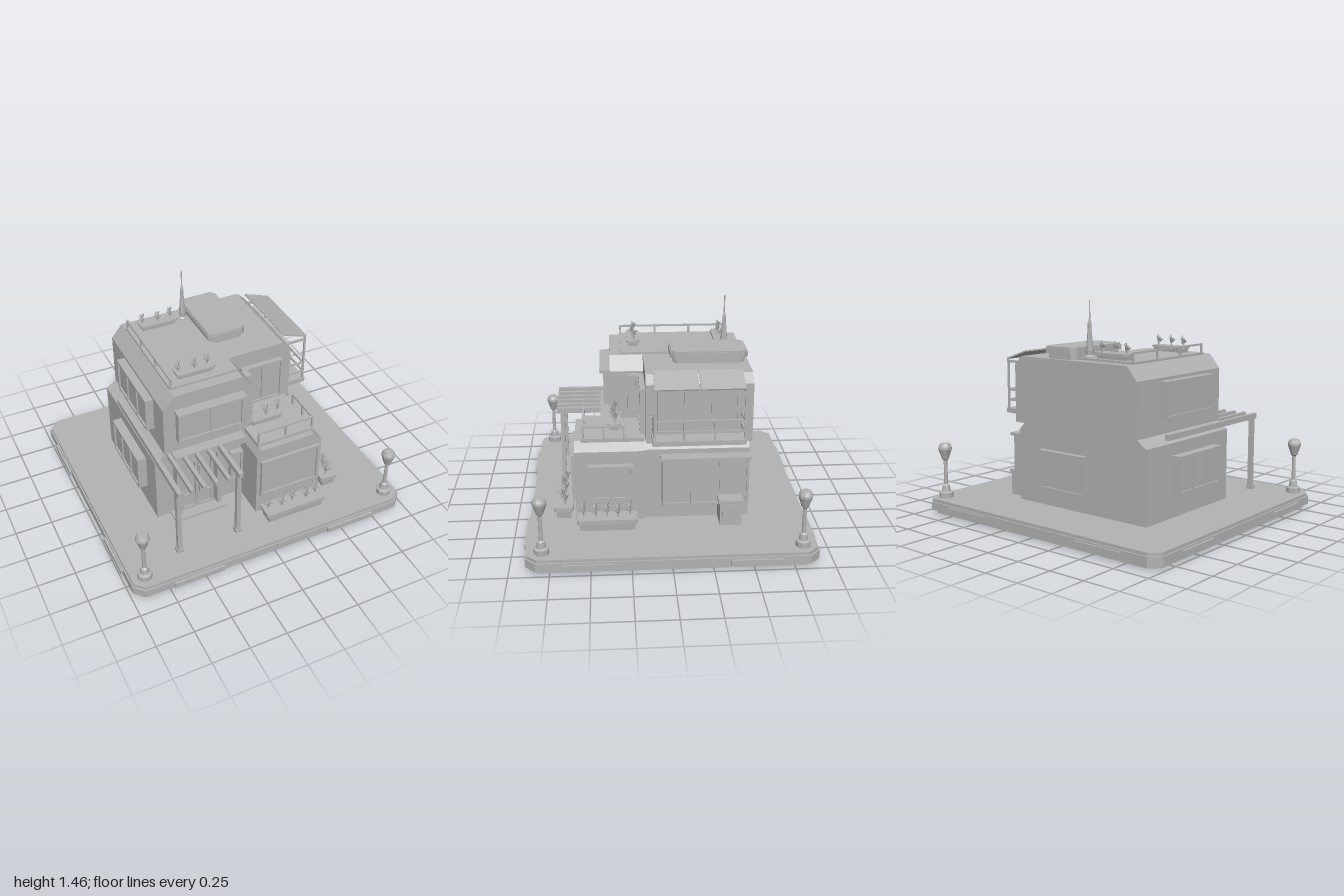
import * as THREE from 'three';

const grey = new THREE.MeshStandardMaterial({ color: 0xb2b2b2 });
grey.name = 'plain grey';

function add(parent, name, geometry, x = 0, y = 0, z = 0) {
  const m = new THREE.Mesh(geometry, grey);
  m.name = name;
  m.position.set(x, y, z);
  parent.add(m);
  return m;
}

function group(parent, name, x = 0, y = 0, z = 0, turn = 0) {
  const g = new THREE.Group();
  g.name = name;
  g.position.set(x, y, z);
  g.rotation.y = turn;
  parent.add(g);
  return g;
}

// Box given by its lower and upper limits on each axis
function box(parent, name, x0, x1, y0, y1, z0, z1) {
  return add(parent, name, new THREE.BoxGeometry(x1 - x0, y1 - y0, z1 - z0),
    (x0 + x1) / 2, (y0 + y1) / 2, (z0 + z1) / 2);
}

// Storey with sloped upper corners, extruded along z
function block(parent, name, x0, x1, y0, y1, z0, z1, cl, cr, h) {
  const s = new THREE.Shape([[x0, y0], [x1, y0], [x1, y1 - (cr ? h : 0)], [x1 - cr, y1], [x0 + cl, y1], [x0, y1 - (cl ? h : 0)]]
    .map(([x, y]) => new THREE.Vector2(x, y)));
  return add(parent, name, new THREE.ExtrudeGeometry(s, { depth: z1 - z0, bevelEnabled: false }), 0, 0, z0);
}

// Flat slab with cut corners
function slab(parent, name, x0, x1, y0, y1, z0, z1, c) {
  const s = new THREE.Shape([[x0 + c, z0], [x1 - c, z0], [x1, z0 + c], [x1, z1 - c], [x1 - c, z1], [x0 + c, z1], [x0, z1 - c], [x0, z0 + c]]
    .map(([x, z]) => new THREE.Vector2(x, -z)));
  const g = new THREE.ExtrudeGeometry(s, { depth: y1 - y0, bevelEnabled: false }).rotateX(-Math.PI / 2);
  return add(parent, name, g, 0, y0, 0);
}

// Framed window standing out of a wall, facing local +z
function windowBox(parent, name, x, y, z, turn, w, h, d, panes, lintel = 0) {
  const g = group(parent, name, x, y, z, turn), t = 0.016;
  box(g, 'pane', -w / 2, w / 2, -h / 2, h / 2, -0.01, d - 0.012);
  for (const s of [-1, 1]) {
    box(g, 'frameSide', s * (w / 2 - t / 2) - t / 2, s * (w / 2 - t / 2) + t / 2, -h / 2, h / 2, 0, d);
    box(g, 'frameRail', -w / 2, w / 2, s * (h / 2 - t / 2) - t / 2, s * (h / 2 - t / 2) + t / 2, 0, d);
  }
  for (let i = 1; i < panes; i++) {
    const mx = -w / 2 + (w * i) / panes;
    box(g, 'mullion', mx - 0.005, mx + 0.005, -h / 2, h / 2, 0, d - 0.002);
  }
  if (lintel) box(g, 'lintel', -w / 2 - 0.008, w / 2 + 0.008, h / 2 - 0.012, h / 2 + 0.008, 0, d + lintel);
  return g;
}

// Spiky plant made of flat pointed leaves
const leaf = new THREE.ConeGeometry(0.011, 1, 4).translate(0, 0.5, 0).scale(1, 1, 0.4);
function plant(parent, x, y, z, r, h) {
  const g = group(parent, 'plant', x, y, z);
  add(g, 'stem', new THREE.CylinderGeometry(0.004, 0.005, h * 0.6, 5), 0, h * 0.3, 0);
  for (let i = 0; i < 13; i++) {
    const tilt = 0.15 + 0.95 * ((i * 0.37) % 1);
    const m = add(g, 'leaf', leaf, 0, h * (0.2 + 0.25 * ((i * 0.61) % 1)), 0);
    m.rotation.set(tilt, i * 2.4, 0, 'YXZ');
    m.scale.set(1, Math.min(r * 1.2 / Math.sin(tilt), h * 0.62), 1);
  }
}

// Tapered planter with a rim and a row of plants along local x
function planter(parent, name, x, y, z, turn, w, d, h, plants, r, ph) {
  const g = group(parent, name, x, y, z, turn);
  const body = new THREE.BoxGeometry(w - 0.02, h, d - 0.02);
  const p = body.attributes.position;
  for (let i = 0; i < p.count; i++) if (p.getY(i) < 0) p.setXYZ(i, p.getX(i) * 0.96, p.getY(i), p.getZ(i) * 0.86);
  body.computeVertexNormals();
  add(g, 'trough', body, 0, h / 2, 0);
  slab(g, 'rim', -w / 2, w / 2, h * 0.65, h, -d / 2, d / 2, 0.012);
  plants.forEach((px, i) => plant(g, px, h, (i % 2 ? 1 : -1) * d * 0.08, r, ph));
}

// Straight handrail with posts between two floor points
function railing(parent, name, x0, z0, x1, z1, y0, y1, posts, mid) {
  const g = group(parent, name), t = 0.006;
  for (const y of mid ? [y1, mid] : [y1])
    box(g, 'rail', Math.min(x0, x1) - t, Math.max(x0, x1) + t, y - 0.012, y, Math.min(z0, z1) - t, Math.max(z0, z1) + t);
  for (let i = 0; i < posts; i++) {
    const k = i / (posts - 1), x = x0 + (x1 - x0) * k, z = z0 + (z1 - z0) * k;
    box(g, 'post', x - t, x + t, y0, y1 - 0.01, z - t, z + t);
  }
}

function lathe(points, sides) {
  const g = new THREE.LatheGeometry(points.map(([r, y]) => new THREE.Vector2(r, y)), sides).toNonIndexed();
  g.computeVertexNormals();
  return g;
}

export function createModel() {
  const root = new THREE.Group();
  root.name = 'house';
  const R = Math.PI / 2;

  // Base with edge strips
  const base = group(root, 'base');
  slab(base, 'plinth', -0.955, 0.955, 0, 0.03, -0.88, 0.875, 0.06);
  slab(base, 'ground', -0.985, 0.985, 0.025, 0.08, -0.91, 0.9, 0.065);
  slab(base, 'paving', -0.975, 0.975, 0.08, 0.1, -0.9, 0.89, 0.062);
  for (const s of [-1, 1]) for (const c of [-0.555, 0.555]) {
    box(base, 'endStrip', c - 0.175, c + 0.175, 0.035, 0.07, s * 0.905 - 0.017, s * 0.905 + 0.014);
    box(base, 'sideStrip', s * 0.99 - 0.01, s * 0.99 + 0.01, 0.035, 0.07, c * 0.92 - 0.16, c * 0.92 + 0.16);
  }

  // Street lamps
  const lampShape = lathe([[0, 0], [0.048, 0], [0.048, 0.035], [0.03, 0.042], [0.024, 0.08], [0.013, 0.09], [0.012, 0.255],
    [0.022, 0.265], [0.046, 0.335], [0.044, 0.35], [0.032, 0.372], [0, 0.375]], 10);
  for (const [x, z] of [[-0.885, 0.8], [0.885, 0.8], [0.885, -0.81]]) add(root, 'streetLamp', lampShape, x, 0.1, z);

  // Storeys
  block(root, 'groundFloor', -0.615, 0.455, 0.1, 0.63, -0.525, 0.36, 0.07, 0.05, 0.05);
  block(root, 'frontWing', 0, 0.475, 0.1, 0.635, 0.15, 0.597, 0.03, 0.06, 0.055);
  block(root, 'upperLeftRooms', -0.545, 0.08, 0.62, 1.075, -0.53, 0.36, 0.075, 0.075, 0.09);
  block(root, 'upperRightRooms', -0.045, 0.472, 0.63, 1.075, -0.54, 0.14, 0, 0.06, 0.055);

  // Windows
  windowBox(root, 'upperFrontWindow', -0.232, 0.845, 0.36, 0, 0.46, 0.23, 0.045, 2, 0.025);
  box(root, 'windowSill', -0.41, -0.06, 0.697, 0.716, 0.355, 0.375);
  windowBox(root, 'upperLeftWindow', -0.545, 0.848, -0.05, -R, 0.5, 0.235, 0.055, 3);
  windowBox(root, 'lowerLeftWindow', -0.615, 0.378, -0.03, -R, 0.46, 0.245, 0.062, 3);
  windowBox(root, 'terraceWindow', 0.25, 0.82, 0.14, 0, 0.3, 0.3, 0.035, 2);
  windowBox(root, 'terraceSideWindow', 0.08, 0.845, 0.21, R, 0.07, 0.25, 0.05, 1);
  windowBox(root, 'wingFrontWindow', 0.24, 0.4, 0.597, 0, 0.43, 0.29, 0.022, 1);
  windowBox(root, 'wingSideWindow', 0.475, 0.378, 0.37, R, 0.29, 0.235, 0.045, 2);
  windowBox(root, 'lowerRightWindow', 0.455, 0.375, -0.24, R, 0.56, 0.33, 0.06, 3, 0.025);
  windowBox(root, 'backWindow', 0.05, 0.345, -0.525, Math.PI, 0.385, 0.26, 0.04, 1);
  windowBox(root, 'entranceSideWindow', -0.045, 0.375, 0.36, 0, 0.09, 0.235, 0.04, 1);

  // Entrance
  const door = group(root, 'entrance');
  for (const x of [-0.475, -0.185]) box(door, 'doorPost', x - 0.016, x + 0.016, 0.1, 0.6, 0.35, 0.42);
  box(door, 'canopy', -0.5, 0, 0.585, 0.638, 0.35, 0.43);
  box(door, 'doorHeader', -0.46, -0.2, 0.53, 0.55, 0.35, 0.4);
  box(door, 'doorStep', -0.52, -0.16, 0.1, 0.115, 0.35, 0.46);
  for (const x of [-0.388, -0.272]) windowBox(door, 'doorLeaf', x, 0.32, 0.36, 0, 0.114, 0.41, 0.025, 1);
  for (const x of [-0.345, -0.315]) box(door, 'handle', x - 0.005, x + 0.005, 0.24, 0.48, 0.385, 0.4);
  box(door, 'doorRail', -0.44, -0.22, 0.235, 0.245, 0.37, 0.386);

  // Pergola
  const pergola = group(root, 'pergola');
  for (const x of [-0.602, -0.185]) {
    box(pergola, 'post', x - 0.015, x + 0.015, 0.1, 0.6, 0.68, 0.71);
    box(pergola, 'postFoot', x - 0.022, x + 0.022, 0.1, 0.125, 0.673, 0.717);
  }
  box(pergola, 'longBeam', -0.617, -0.587, 0.6, 0.637, -0.3, 0.735);
  box(pergola, 'shortBeam', -0.2, -0.17, 0.6, 0.637, 0.42, 0.735);
  for (const x of [-0.518, -0.435, -0.352, -0.268]) box(pergola, 'slat', x - 0.013, x + 0.013, 0.605, 0.635, 0.35, 0.735);

  // Terrace on the wing
  box(root, 'terraceFloor', 0.025, 0.435, 0.63, 0.655, 0.15, 0.555);
  railing(root, 'terraceFrontRail', 0.037, 0.54, 0.43, 0.54, 0.65, 0.74, 3);
  railing(root, 'terraceSideRail', 0.43, 0.28, 0.43, 0.54, 0.65, 0.74, 3);

  // Balcony with awning
  const balcony = group(root, 'balcony');
  box(balcony, 'floor', 0.46, 0.62, 0.67, 0.702, -0.48, 0.105);
  railing(balcony, 'longRail', 0.607, -0.47, 0.607, 0.095, 0.7, 0.835, 4, 0.765);
  for (const z of [-0.47, 0.095]) {
    railing(balcony, 'endRail', 0.48, z, 0.607, z, 0.7, 0.835, 2, 0.765);
    box(balcony, 'awningPost', 0.601, 0.613, 0.7, 1.045, z - 0.006, z + 0.006);
    box(balcony, 'awningBrace', 0.46, 0.612, 1.015, 1.03, z - 0.006, z + 0.006);
  }
  windowBox(balcony, 'balconyDoor', 0.472, 0.85, -0.19, R, 0.52, 0.3, 0.03, 3);
  for (const z of [-0.33, -0.045]) {
    const panel = add(balcony, 'awningPanel', new THREE.BoxGeometry(0.195, 0.01, 0.275), 0.53, 1.07, z);
    panel.rotation.z = -0.33;
  }

  // Roof deck, roof box and mast
  box(root, 'roofDeck', -0.465, 0, 1.07, 1.09, -0.46, 0.29);
  railing(root, 'roofRail', -0.453, -0.45, -0.453, 0.28, 1.09, 1.15, 4);
  slab(root, 'roofBoxBase', -0.03, 0.21, 1.07, 1.115, -0.515, -0.05, 0.025);
  slab(root, 'roofBoxLid', -0.045, 0.225, 1.11, 1.145, -0.535, -0.03, 0.03);
  slab(root, 'roofBoxTop', -0.038, 0.218, 1.145, 1.155, -0.528, -0.037, 0.028);
  add(root, 'mast', lathe([[0, 0], [0.034, 0], [0.034, 0.02], [0.022, 0.03], [0.024, 0.06], [0.012, 0.2], [0.013, 0.23],
    [0.005, 0.26], [0.004, 0.375], [0, 0.38]], 8), -0.07, 1.075, -0.41);

  // Planters
  const row = [-0.105, 0, 0.095];
  planter(root, 'roofPlanterBack', -0.26, 1.085, -0.395, 0, 0.26, 0.09, 0.045, row, 0.03, 0.075);
  planter(root, 'roofPlanterFront', -0.26, 1.085, 0.2, 0, 0.26, 0.09, 0.045, row, 0.03, 0.075);
  planter(root, 'terracePlanter', 0.188, 0.655, 0.34, 0, 0.235, 0.09, 0.045, row, 0.035, 0.09);
  planter(root, 'frontPlanter', 0.237, 0.1, 0.678, 0, 0.435, 0.125, 0.08, [-0.18, -0.09, 0, 0.095, 0.175], 0.042, 0.1);
  planter(root, 'sidePlanter', 0.578, 0.1, 0.395, R, 0.385, 0.125, 0.08, [-0.15, -0.075, 0, 0.07, 0.145], 0.05, 0.125);

  // Utility cabinet
  const cabinet = group(root, 'utilityCabinet');
  box(cabinet, 'body', 0.455, 0.6, 0.1, 0.26, -0.465, -0.325);
  box(cabinet, 'lid', 0.455, 0.61, 0.255, 0.275, -0.473, -0.317);
  box(cabinet, 'door', 0.598, 0.606, 0.12, 0.24, -0.45, -0.34);
  return root;
}
